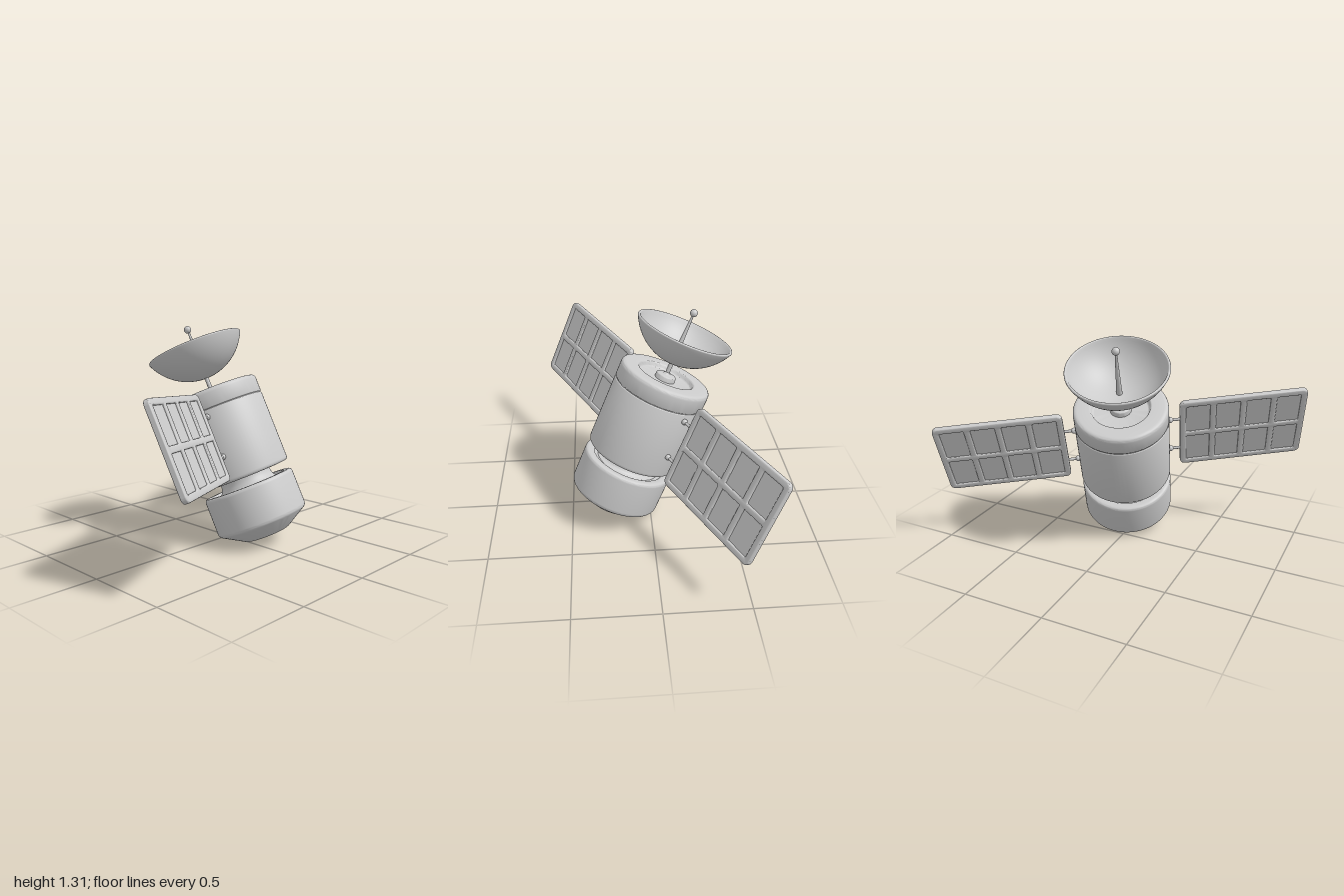
import * as THREE from 'three';
import { toCreasedNormals } from 'three/addons/utils/BufferGeometryUtils.js';

const material = new THREE.MeshStandardMaterial({ color: 0xcccccc });

function add(parent, name, geometry) {
  const mesh = new THREE.Mesh(geometry, material);
  mesh.name = name;
  parent.add(mesh);
  return mesh;
}

// Lathe from [radius, height, fillet] corners, listed bottom to top
function turned(corners, segments = 72) {
  const pts = corners.map(([r, y]) => new THREE.Vector2(r, y));
  const profile = [];
  corners.forEach(([, , fillet], i) => {
    const p = pts[i];
    if (!fillet) return profile.push(p);
    const toward = (q) => p.clone().add(q.clone().sub(p).setLength(fillet));
    const curve = new THREE.QuadraticBezierCurve(toward(pts[i - 1]), p, toward(pts[i + 1]));
    profile.push(...curve.getPoints(5));
  });
  return toCreasedNormals(new THREE.LatheGeometry(profile, segments), 0.6);
}

function roundedRect(path, cx, cy, w, h, r) {
  const x = w / 2 - r, y = h / 2 - r;
  path.absarc(cx + x, cy + y, r, 0, Math.PI / 2);
  path.absarc(cx - x, cy + y, r, Math.PI / 2, Math.PI);
  path.absarc(cx - x, cy - y, r, Math.PI, Math.PI * 1.5);
  path.absarc(cx + x, cy - y, r, Math.PI * 1.5, Math.PI * 2);
  path.closePath();
  return path;
}

// Panel frame with 4 x 2 openings
function panelFrame(length, height) {
  const border = 0.03, gap = 0.03, depth = 0.018, bevel = 0.008;
  const cw = (length - 2 * border - 3 * gap) / 4;
  const ch = (height - 2 * border - gap) / 2;
  const shape = roundedRect(new THREE.Shape(), 0, 0, length, height, 0.03);
  for (let i = 0; i < 4; i++) {
    for (let j = 0; j < 2; j++) {
      shape.holes.push(roundedRect(new THREE.Path(),
        (i - 1.5) * (cw + gap), (j - 0.5) * (ch + gap), cw, ch, 0.012));
    }
  }
  const geometry = new THREE.ExtrudeGeometry(shape, {
    depth, bevelSize: bevel, bevelThickness: bevel, bevelOffset: -bevel / 2,
    bevelSegments: 3, curveSegments: 5,
  });
  geometry.translate(0, 0, -depth / 2);
  return toCreasedNormals(geometry, 0.7);
}

// One wing: framed cells on two struts, reaching along +x
function solarWing() {
  const wing = new THREE.Group();
  const length = 0.762, height = 0.515, middle = 0.736;
  add(wing, 'panelFrame', panelFrame(length, height)).position.x = middle;
  add(wing, 'solarCells', new THREE.BoxGeometry(length - 0.03, height - 0.03, 0.014)).position.x = middle;
  for (const y of [-0.123, 0.123]) {
    const rod = new THREE.CylinderGeometry(0.009, 0.009, 0.1, 16).rotateZ(Math.PI / 2);
    add(wing, 'strut', rod).position.set(0.32, y, 0);
    add(wing, 'strutJoint', new THREE.SphereGeometry(0.018, 20, 14)).position.set(0.293, y, 0);
  }
  return wing;
}

// Bowl with rounded lip: outer arc up, inner arc back down
function dishGeometry() {
  const points = [];
  const R = 0.328, t = 0.016, top = Math.asin(0.3 / R), cy = 0.365 + R, steps = 20;
  const at = (r, a) => new THREE.Vector2(Math.max(0, r * Math.sin(a)), cy - r * Math.cos(a));
  for (let i = 0; i <= steps; i++) points.push(at(R, (top * i) / steps));
  for (let i = 1; i < 6; i++) {
    const b = (Math.PI * i) / 6;
    points.push(at(R - t / 2 + (t / 2) * Math.cos(b), top + (t / 2 / R) * Math.sin(b)));
  }
  for (let i = steps; i >= 0; i--) points.push(at(R - t, (top * i) / steps));
  return new THREE.LatheGeometry(points, 72);
}

export function createModel() {
  const model = new THREE.Group();
  model.name = 'satellite';

  // Everything is built upright, then leaned over as a whole
  const craft = new THREE.Group();
  craft.name = 'craft';
  model.add(craft);

  // Main drum with a grooved cap and a recessed top
  add(craft, 'mainBody', turned([
    [0, -0.28], [0.285, -0.28, 0.022], [0.285, 0.16, 0.004], [0.279, 0.164],
    [0.279, 0.168], [0.285, 0.172, 0.004], [0.285, 0.28, 0.028],
    [0.178, 0.28, 0.008], [0.168, 0.25, 0.008], [0, 0.25],
  ]));

  // Neck joining the drum to the lower module
  add(craft, 'neck', turned([
    [0.205, -0.365], [0.2, -0.352, 0.006], [0.178, -0.346, 0.015], [0.16, -0.31, 0.02], [0.16, -0.27],
  ]));

  // Lower module: recessed top, tapered base and shallow round port
  add(craft, 'lowerModule', turned([
    [0, -0.645], [0.097, -0.645], [0.108, -0.663, 0.005], [0.138, -0.663, 0.012],
    [0.285, -0.575, 0.018], [0.285, -0.335, 0.022], [0.232, -0.335, 0.006],
    [0.224, -0.355, 0.006], [0, -0.355],
  ]));

  // Antenna: hub, mast, dish, tapered feed and ball tip
  add(craft, 'antennaHub', turned([
    [0.064, 0.24], [0.062, 0.282, 0.012], [0.024, 0.284, 0.006], [0.014, 0.298], [0, 0.298],
  ], 40));
  add(craft, 'antennaMast', new THREE.CylinderGeometry(0.013, 0.013, 0.1, 24)).position.y = 0.335;
  add(craft, 'dish', dishGeometry());
  add(craft, 'antennaFeed', new THREE.CylinderGeometry(0.006, 0.018, 0.31, 24)).position.y = 0.53;
  add(craft, 'antennaTip', new THREE.SphereGeometry(0.023, 28, 18)).position.y = 0.688;

  // Two opposite wings
  for (const side of [0, 1]) {
    const wing = solarWing();
    wing.name = side ? 'rightSolarWing' : 'leftSolarWing';
    wing.rotation.y = side * Math.PI;
    craft.add(wing);
  }

  // Lean: body axis, wing axis and their normal
  const up = new THREE.Vector3(-0.43, 1, 0.133).normalize();
  const out = new THREE.Vector3(0.49, 0.0865, 0.867);
  out.addScaledVector(up, -out.dot(up)).normalize();
  const normal = new THREE.Vector3().crossVectors(out, up);
  craft.quaternion.setFromRotationMatrix(new THREE.Matrix4().makeBasis(out, up, normal));
  craft.position.y = 0.663;
  return model;
}
